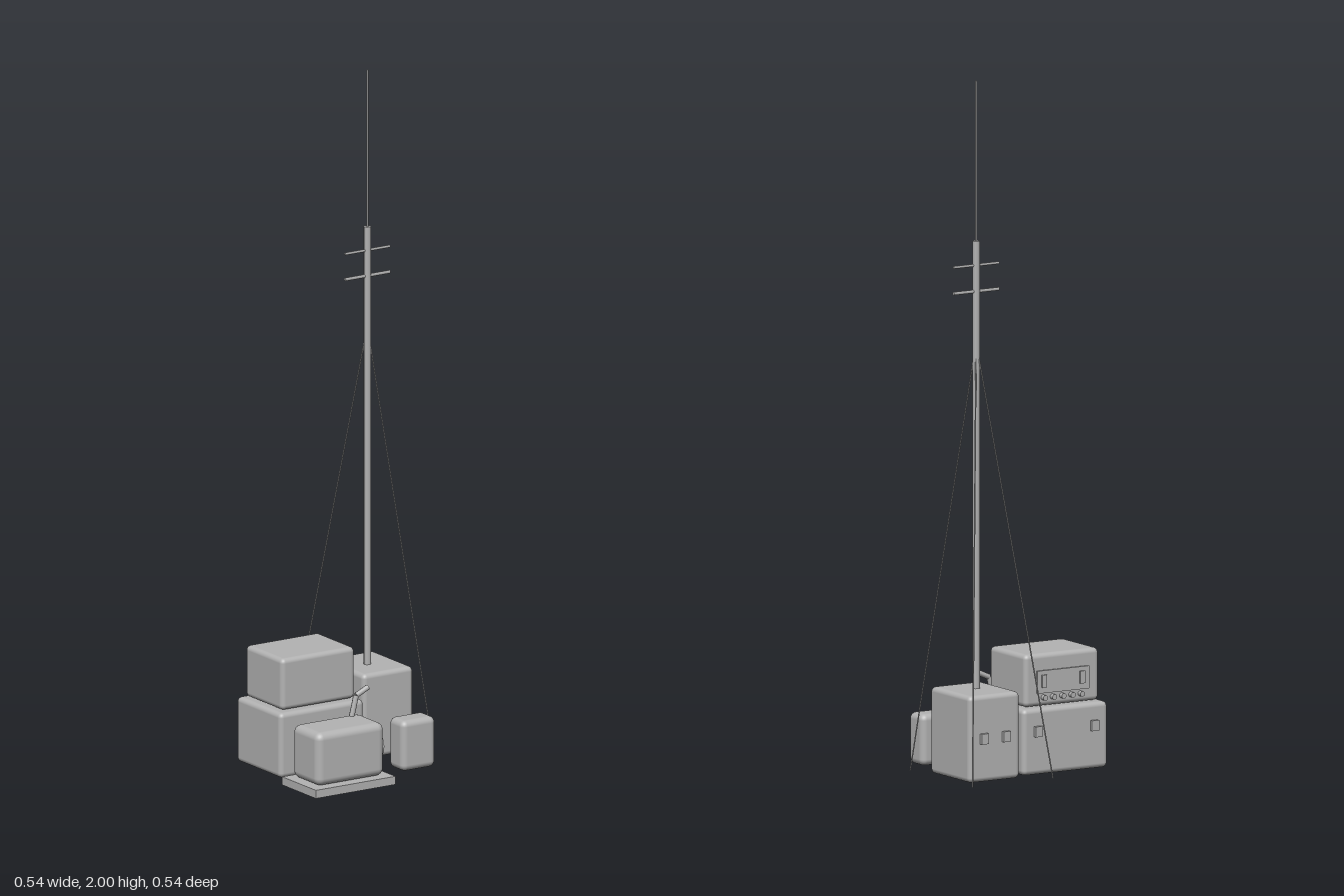
import * as THREE from 'three';
import { RoundedBoxGeometry } from 'three/addons/geometries/RoundedBoxGeometry.js';

export function createModel() {
  const model = new THREE.Group();
  model.name = 'radioStation';
  const grey = new THREE.MeshStandardMaterial({ color: 0xb3b3b3 });
  grey.name = 'plain grey';

  function add(name, geometry) {
    const mesh = new THREE.Mesh(geometry, grey);
    mesh.name = name;
    model.add(mesh);
    return mesh;
  }
  // Boxes are given by their min and max on each axis
  function box(name, x0, x1, y0, y1, z0, z1, radius = 0) {
    const size = [x1 - x0, y1 - y0, z1 - z0];
    const geometry = radius ? new RoundedBoxGeometry(...size, 3, radius) : new THREE.BoxGeometry(...size);
    add(name, geometry).position.set((x0 + x1) / 2, (y0 + y1) / 2, (z0 + z1) / 2);
  }
  // Straight round bar between two points
  function rod(name, a, b, radius, sides = 8) {
    const start = new THREE.Vector3(...a), end = new THREE.Vector3(...b);
    const dir = end.clone().sub(start);
    const mesh = add(name, new THREE.CylinderGeometry(radius, radius, dir.length(), sides));
    mesh.position.copy(start).add(end).multiplyScalar(0.5);
    mesh.quaternion.setFromUnitVectors(new THREE.Vector3(0, 1, 0), dir.normalize());
  }
  // Chain of bars through several points
  function bentPipe(name, points, radius) {
    for (let i = 1; i < points.length; i++) rod(name, points[i - 1], points[i], radius);
  }

  // Stacked equipment cases
  box('lowerCase', -0.25, 0.035, 0.005, 0.195, -0.173, 0.055, 0.014);
  box('radioCase', -0.232, 0.017, 0.197, 0.348, -0.154, 0.036, 0.014);
  for (const x of [-0.202, -0.013]) box('lowerCaseLatch', x - 0.012, x + 0.012, 0.115, 0.145, -0.183, -0.17);

  // Radio panel with knobs and side grips
  box('radioPanel', -0.195, -0.021, 0.235, 0.3, -0.16, -0.152);
  for (const x of [-0.17, -0.042]) box('panelGrip', x - 0.008, x + 0.008, 0.252, 0.288, -0.165, -0.155);
  for (let i = 0; i < 5; i++) {
    const x = -0.168 + i * 0.031;
    rod('radioKnob', [x, 0.222, -0.15], [x, 0.222, -0.167], 0.008, 10);
  }

  // Mast case
  box('mastCase', 0.057, 0.228, 0.005, 0.254, -0.192, 0.017, 0.014);
  for (const x of [0.106, 0.18]) box('mastCaseLatch', x - 0.012, x + 0.012, 0.115, 0.145, -0.202, -0.189);

  // Fuel can
  box('fuelCan', 0.076, 0.191, 0.005, 0.153, 0.115, 0.19, 0.018);

  // Generator with base, recoil cover and exhaust
  box('generatorBase', -0.27, 0, 0, 0.024, 0.095, 0.268);
  box('generatorBody', -0.25, -0.02, 0.024, 0.18, 0.112, 0.248, 0.022);
  rod('recoilCover', [-0.025, 0.1, 0.178], [-0.004, 0.1, 0.178], 0.039, 20);
  bentPipe('exhaustPipe', [[-0.062, 0.17, 0.134], [-0.045, 0.238, 0.134], [-0.005, 0.256, 0.134]], 0.008);

  // Power cable
  bentPipe('powerCable', [[-0.098, 0.1, 0.045], [-0.096, 0.05, 0.092], [-0.138, 0.035, 0.112]], 0.005);

  // Mast, whip and cross bars
  const mx = 0.133, mz = -0.078;
  rod('mast', [mx, 0.25, mz], [mx, 1.54, mz], 0.011);
  rod('whipAntenna', [mx, 1.53, mz], [mx, 2, mz], 0.003, 6);
  rod('upperCrossBar', [0.057, 1.47, mz], [0.209, 1.47, mz], 0.004, 6);
  rod('lowerCrossBar', [0.057, 1.395, mz], [0.209, 1.395, mz], 0.005, 6);

  // Guy wires
  for (const [x, z] of [[-0.002, -0.272], [0.268, -0.272], [0.268, 0.057]]) {
    rod('guyWire', [mx, 1.25, mz], [x, 0.01, z], 0.002, 6);
  }
  return model;
}
